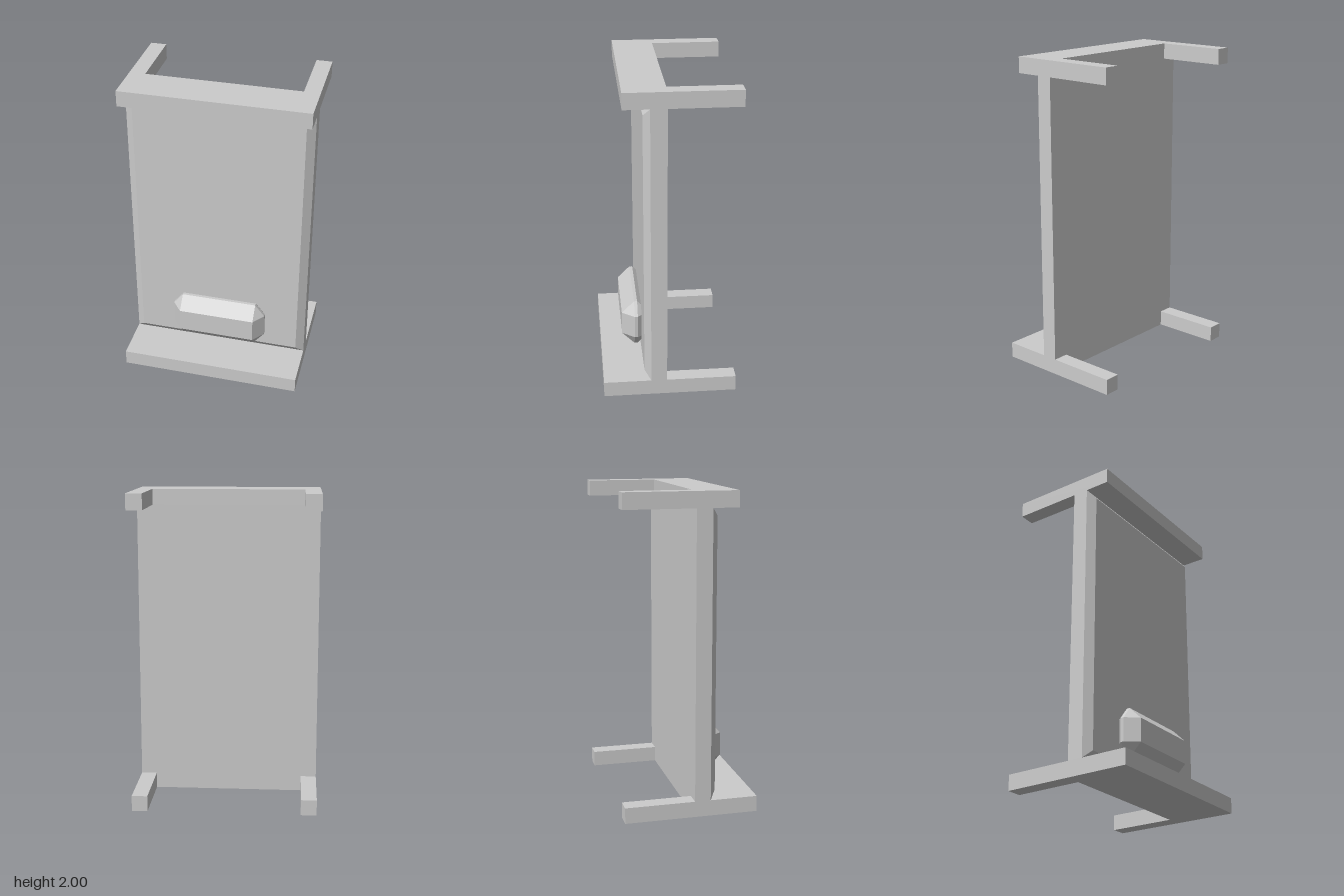
import * as THREE from 'three';
import { ConvexGeometry } from 'three/addons/geometries/ConvexGeometry.js';

const HALF_W = 0.585, BACK = -0.42, PANEL_BACK = 0.02, THICK = 0.1;
const material = new THREE.MeshStandardMaterial({ color: 0xcccccc, flatShading: true });

function part(name, geometry, x = 0, y = 0, z = 0) {
  const mesh = new THREE.Mesh(geometry, material);
  mesh.name = name;
  mesh.position.set(x, y, z);
  return mesh;
}

// U-shaped slab: a solid front strip with two arms reaching back
function uSlab(front) {
  const inner = HALF_W - 0.1;
  const outline = [
    [-HALF_W, front], [HALF_W, front], [HALF_W, BACK], [inner, BACK],
    [inner, PANEL_BACK], [-inner, PANEL_BACK], [-inner, BACK], [-HALF_W, BACK],
  ].map(([x, z]) => new THREE.Vector2(x, -z));
  const geometry = new THREE.ExtrudeGeometry(new THREE.Shape(outline), { depth: THICK, bevelEnabled: false });
  return geometry.rotateX(-Math.PI / 2);
}

// Four corners of a centred rectangle at depth z
function corners(hx, hy, z) {
  return [[-1, -1], [1, -1], [1, 1], [-1, 1]].map(([sx, sy]) => new THREE.Vector3(sx * hx, sy * hy, z));
}

// Upright panel with a bevelled front edge
function panel() {
  const h = 0.9, inset = 0.05;
  return new ConvexGeometry([
    ...corners(HALF_W, h, PANEL_BACK),
    ...corners(HALF_W, h, 0.12),
    ...corners(HALF_W - inset, h - inset, 0.16),
  ]);
}

// Block with every edge chamfered and every corner cut
function chamferedBlock(hx, hy, hz, cx, cy, cz) {
  const points = [];
  for (const s of [-1, 1]) {
    points.push(
      ...corners(hx - cx, hy - cy, s * hz),
      ...corners(hx, hy - cy, s * (hz - cz)),
      ...corners(hx - cx, hy, s * (hz - cz)),
    );
  }
  return new ConvexGeometry(points);
}

export function createModel() {
  const model = new THREE.Group();
  model.name = 'panelStand';
  model.add(
    part('base', uSlab(0.42)),
    part('topFrame', uSlab(0.28), 0, 2 - THICK, 0),
    part('panel', panel(), 0, 1, 0),
    part('handle', chamferedBlock(0.31, 0.156, 0.09, 0.063, 0.08, 0.08), 0.014, 0.341, 0.195),
  );
  return model;
}
